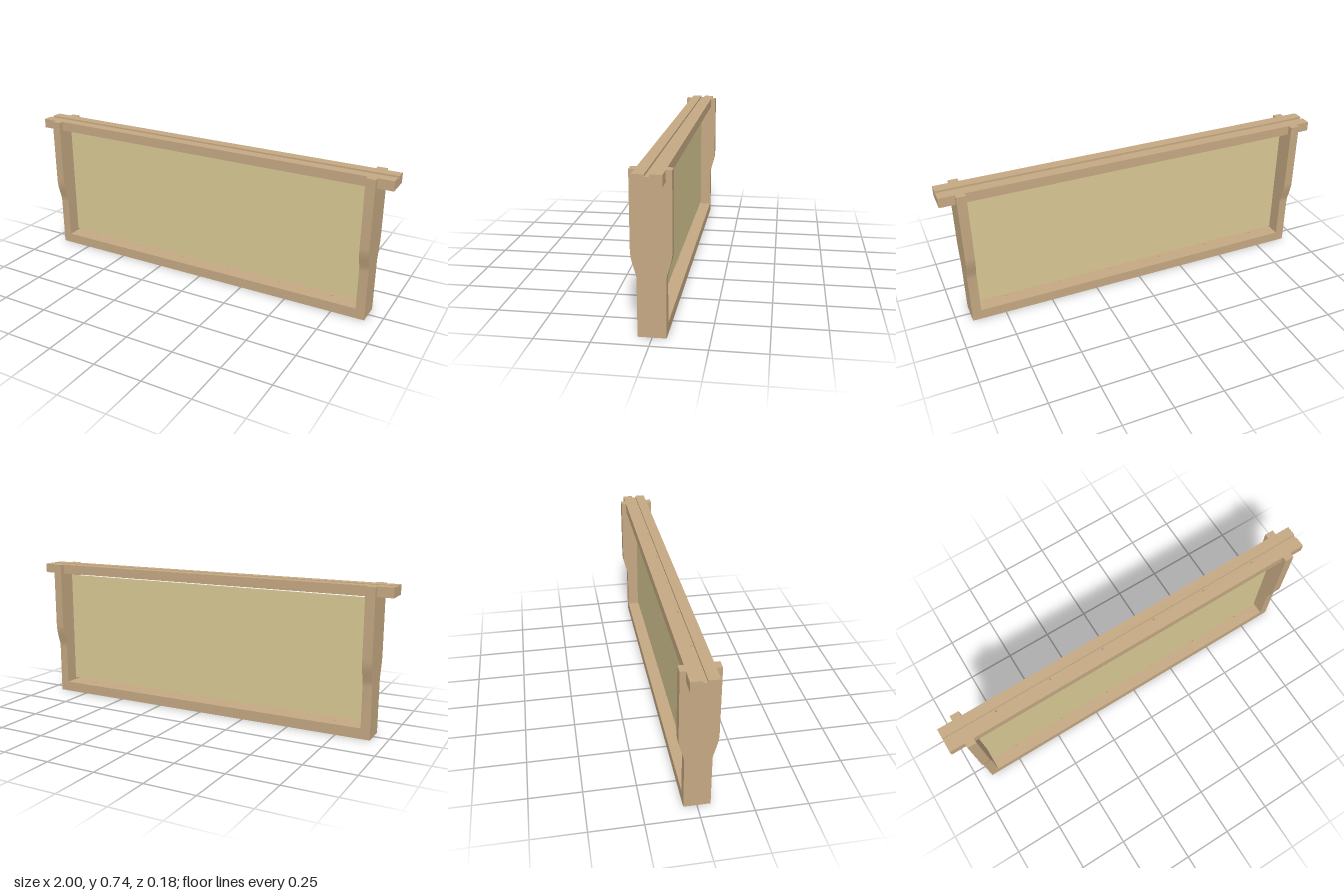
import * as THREE from 'three';
import { toCreasedNormals } from 'three/addons/utils/BufferGeometryUtils.js';

const wood = new THREE.MeshStandardMaterial({ color: 0xc4a882 });
const wax = new THREE.MeshStandardMaterial({ color: 0xd8c893 });

const HEIGHT = 0.738;
const NARROW = 0.063, WIDE = 0.089; // half depths of the side bars
const INNER = 0.875, OUTER = 0.922; // inner and outer x of the side bars
const GROOVE = 0.0105, GROOVE_DEPTH = 0.01;
const BAR_BOTTOM = 0.689; // underside of the top bar

function add(parent, name, geometry, material, x = 0, y = 0, z = 0) {
  const mesh = new THREE.Mesh(geometry, material);
  mesh.name = name;
  mesh.position.set(x, y, z);
  parent.add(mesh);
  return mesh;
}

// Grooved bar: a slab drilled with wire holes plus two rails beside the groove
function groovedBar(name, halfLength, bottom, top, grooveUp) {
  const bar = new THREE.Group();
  bar.name = name;
  const plan = new THREE.Shape([
    new THREE.Vector2(-halfLength, -NARROW), new THREE.Vector2(halfLength, -NARROW),
    new THREE.Vector2(halfLength, NARROW), new THREE.Vector2(-halfLength, NARROW),
  ]);
  for (let i = 0; i < 6; i++) {
    plan.holes.push(new THREE.Path().absarc((i - 2.5) * 0.291, 0, 0.005, 0, Math.PI * 2, true));
  }
  const slab = new THREE.ExtrudeGeometry(plan, {
    depth: top - bottom - GROOVE_DEPTH, bevelEnabled: false, curveSegments: 8,
  }).rotateX(-Math.PI / 2);
  add(bar, name + 'Slab', slab, wood, 0, grooveUp ? bottom : bottom + GROOVE_DEPTH);

  const railY = grooveUp ? top - GROOVE_DEPTH / 2 : bottom + GROOVE_DEPTH / 2;
  for (const side of [1, -1]) {
    const rail = new THREE.BoxGeometry(halfLength * 2, GROOVE_DEPTH, NARROW - GROOVE);
    add(bar, name + 'Rail', rail, wood, 0, railY, side * (NARROW + GROOVE) / 2);
  }
  return bar;
}

// Side bar profile: wide shoulders, curved waist, notch housing the top bar
function sideBarGeometry() {
  const s = new THREE.Shape();
  s.moveTo(-NARROW, 0);
  s.lineTo(NARROW, 0);
  s.lineTo(NARROW, 0.265);
  s.bezierCurveTo(NARROW + 0.001, 0.295, WIDE - 0.001, 0.34, WIDE, 0.39);
  s.lineTo(WIDE, HEIGHT);
  s.lineTo(NARROW, HEIGHT);
  s.lineTo(NARROW, BAR_BOTTOM);
  s.lineTo(-NARROW, BAR_BOTTOM);
  s.lineTo(-NARROW, HEIGHT);
  s.lineTo(-WIDE, HEIGHT);
  s.lineTo(-WIDE, 0.39);
  s.bezierCurveTo(-WIDE + 0.001, 0.34, -NARROW - 0.001, 0.295, -NARROW, 0.265);
  s.closePath();
  const g = new THREE.ExtrudeGeometry(s, {
    depth: OUTER - INNER, bevelEnabled: false, curveSegments: 14,
  });
  g.translate(0, 0, -(OUTER - INNER) / 2).rotateY(Math.PI / 2);
  return toCreasedNormals(g, 0.5);
}

export function createModel() {
  const model = new THREE.Group();
  model.name = 'hiveFrame';

  // Horizontal bars
  model.add(groovedBar('topBar', 1, BAR_BOTTOM, HEIGHT, true));
  model.add(groovedBar('bottomBar', INNER, 0, 0.053, false));

  // Side bars
  const side = sideBarGeometry();
  const x = (INNER + OUTER) / 2;
  add(model, 'leftSideBar', side, wood, x);
  add(model, 'rightSideBar', side, wood, -x);

  // Wax sheet floating inside the frame
  add(model, 'foundationSheet', new THREE.BoxGeometry(1.73, 0.605, 0.008), wax, 0, 0.3725);

  return model;
}
